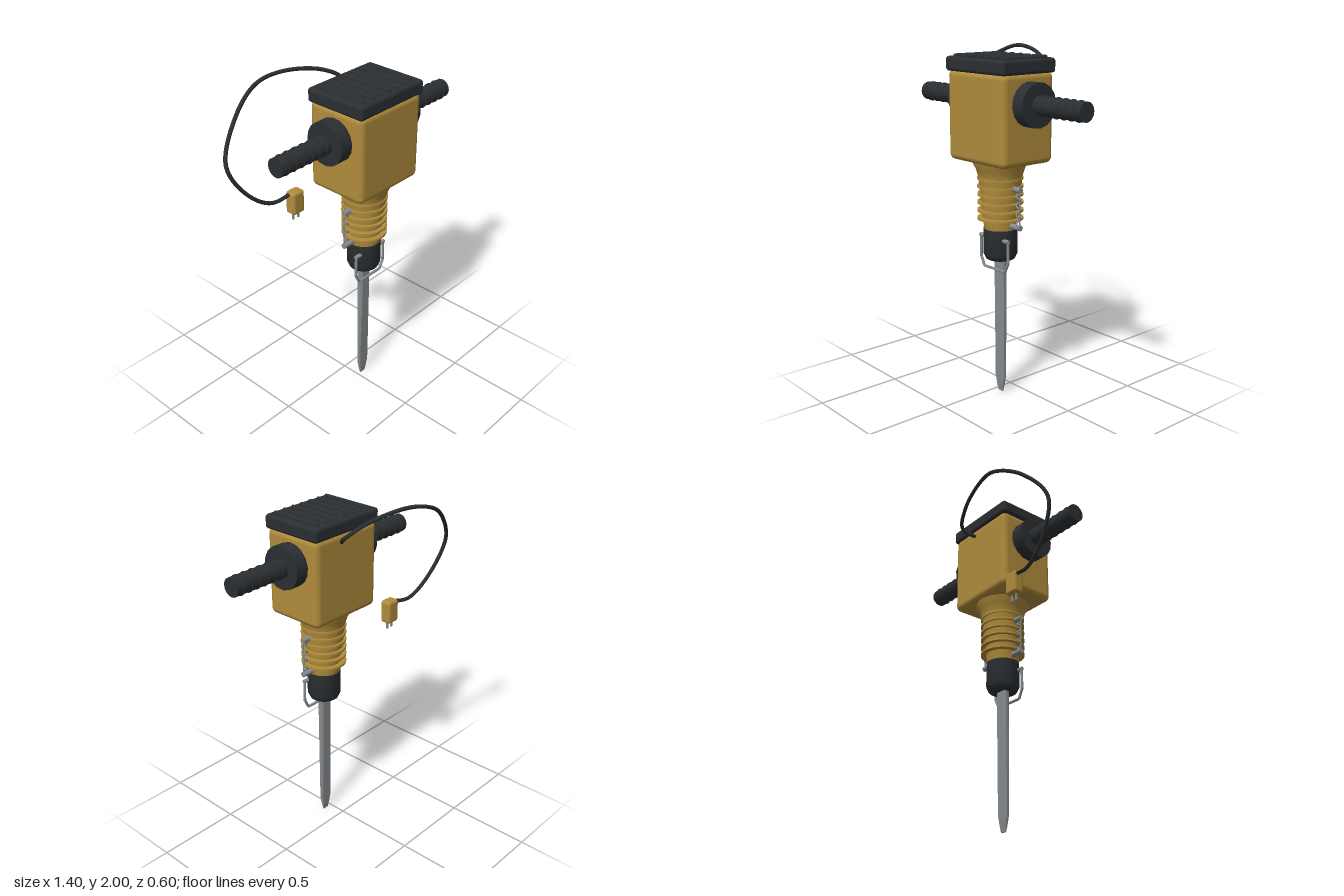
import * as THREE from 'three';
import { RoundedBoxGeometry } from 'three/addons/geometries/RoundedBoxGeometry.js';
import { toCreasedNormals } from 'three/addons/utils/BufferGeometryUtils.js';

const yellow = new THREE.MeshStandardMaterial({ color: 0xb08c3c });
const black = new THREE.MeshStandardMaterial({ color: 0x2b2f32 });
const steel = new THREE.MeshStandardMaterial({ color: 0x888c8f });

// Tool axis
const CX = 0.043, CZ = 0.11;
const V = (x, y, z) => new THREE.Vector3(x, y, z);

function add(parent, name, geometry, material, x = 0, y = 0, z = 0) {
  const mesh = new THREE.Mesh(geometry, material);
  mesh.name = name;
  mesh.position.set(x, y, z);
  parent.add(mesh);
  return mesh;
}

function lathe(points, segments = 32) {
  const profile = points.map(([r, y]) => new THREE.Vector2(r, y));
  return toCreasedNormals(new THREE.LatheGeometry(profile, segments), 0.6);
}

// Rod along x between two x positions
function rodX(x0, x1, r) {
  return new THREE.CylinderGeometry(r, r, Math.abs(x1 - x0), 16)
    .rotateZ(Math.PI / 2).translate((x0 + x1) / 2, 0, 0);
}

// Flat bar with bevelled corners, lofted through [y, halfWidth, halfDepth]
function chiselGeometry(sections) {
  const positions = [], index = [];
  const n = 8;
  for (const [y, w, d] of sections) {
    const c = d * 0.5;
    for (const [x, z] of [[w, d - c], [w - c, d], [c - w, d], [-w, d - c],
      [-w, c - d], [c - w, -d], [w - c, -d], [w, c - d]]) positions.push(x, y, z);
  }
  for (let s = 0; s < sections.length - 1; s++) {
    for (let i = 0; i < n; i++) {
      const a = s * n + i, b = s * n + (i + 1) % n;
      index.push(a, a + n, b, b, a + n, b + n);
    }
  }
  const last = (sections.length - 1) * n;
  for (let i = 1; i < n - 1; i++) {
    index.push(0, i, i + 1);
    index.push(last, last + i + 1, last + i);
  }
  const g = new THREE.BufferGeometry();
  g.setAttribute('position', new THREE.Float32BufferAttribute(positions, 3));
  g.setIndex(index);
  return toCreasedNormals(g, 0.3);
}

export function createModel() {
  const model = new THREE.Group();
  model.name = 'jackhammer';
  const tool = new THREE.Group();
  tool.name = 'tool';
  tool.position.set(CX, 0, CZ);
  model.add(tool);

  // Motor housing and ribbed cap
  add(tool, 'housing', new RoundedBoxGeometry(0.475, 0.5, 0.365, 4, 0.035), yellow, 0, 1.635, 0);
  add(tool, 'cap', new RoundedBoxGeometry(0.49, 0.08, 0.378, 3, 0.018), black, 0, 1.915, 0);
  for (let i = -3; i <= 3; i++) {
    add(tool, 'capRib', new THREE.CapsuleGeometry(0.012, 0.305, 4, 10).rotateX(Math.PI / 2),
      black, i * 0.065, 1.957, 0);
  }

  // Neck with cooling fins
  add(tool, 'neck', lathe([[0, 1.4], [0.16, 1.4], [0.157, 1.38], [0.138, 1.345], [0.124, 1.3],
    [0.118, 1.24], [0.107, 1.12], [0.092, 1.0], [0, 1.0]].reverse()), yellow);
  for (let i = 0; i < 6; i++) {
    add(tool, 'neckFin', new THREE.CylinderGeometry(0.13, 0.13, 0.012, 32), yellow, 0, 1.06 + i * 0.046, 0);
  }

  // Chuck and chisel
  add(tool, 'chuck', lathe([[0, 0.82], [0.076, 0.82], [0.084, 0.826], [0.097, 0.855],
    [0.097, 1.0], [0, 1.0]]), black);
  add(tool, 'chisel', chiselGeometry([[0, 0.019, 0.004], [0.04, 0.028, 0.009],
    [0.095, 0.039, 0.012], [0.5, 0.039, 0.018], [0.84, 0.039, 0.022]]), steel);

  // Handles and spring links, mirrored on both sides
  for (const side of [1, -1]) {
    const half = new THREE.Group();
    half.name = side > 0 ? 'leftSide' : 'rightSide';
    if (side < 0) half.rotation.y = Math.PI;
    tool.add(half);

    add(half, 'handleCollar', rodX(0.22, 0.316, 0.121).rotateX(0.1), black, 0, 1.72, 0);
    add(half, 'handleGrip', rodX(0.3, 0.659, 0.053), black, 0, 1.72, 0);
    for (let i = 0; i < 6; i++) {
      add(half, 'gripRing', new THREE.TorusGeometry(0.051, 0.006, 8, 28).rotateY(Math.PI / 2),
        black, 0.345 + i * 0.054, 1.72, 0);
    }

    add(half, 'upperPeg', rodX(0.09, 0.172, 0.016), steel, 0, 1.242, 0);
    add(half, 'lowerPeg', rodX(0.08, 0.172, 0.016), steel, 0, 1.028, 0);
    add(half, 'springRod', new THREE.CylinderGeometry(0.004, 0.004, 0.214, 8), steel, 0.165, 1.135, 0);
    const coil = [];
    for (let i = 0; i <= 48; i++) {
      const a = i / 48 * Math.PI * 8;
      coil.push(V(0.152 + 0.011 * Math.cos(a), 1.03 + 0.21 * i / 48, 0.011 * Math.sin(a)));
    }
    add(half, 'spring', new THREE.TubeGeometry(new THREE.CatmullRomCurve3(coil), 120, 0.0055, 6), steel);
  }

  // Retainer bail below the chuck
  const bail = new THREE.CurvePath();
  const corners = [[-0.115, 0.945], [-0.118, 0.82], [-0.09, 0.765], [0.09, 0.765],
    [0.118, 0.82], [0.115, 0.945]].map(([x, y]) => V(x, y, 0.045));
  for (let i = 0; i < corners.length - 1; i++) {
    bail.add(new THREE.LineCurve3(corners[i], corners[i + 1]));
  }
  add(tool, 'bail', new THREE.TubeGeometry(bail, 100, 0.008, 8), steel);
  for (const s of [1, -1]) {
    add(tool, 'bailPeg', rodX(s * 0.075, s * 0.122, 0.012), steel, 0, 0.945, 0.045);
  }

  // Power cord
  const cord = new THREE.CatmullRomCurve3([
    V(0.07, 1.82, -0.05), V(0.13, 1.885, -0.135), V(0.03, 1.95, -0.195), V(-0.2, 1.99, -0.262),
    V(-0.36, 1.965, -0.287), V(-0.55, 1.86, -0.24), V(-0.69, 1.66, -0.175),
    V(-0.6, 1.47, -0.14), V(-0.45, 1.36, -0.115), V(-0.3, 1.375, -0.094),
  ]);
  add(model, 'cord', new THREE.TubeGeometry(cord, 140, 0.011, 10), black);

  // Plug with two prongs
  add(model, 'plug', new RoundedBoxGeometry(0.084, 0.135, 0.068, 3, 0.016), yellow, -0.3, 1.318, -0.09);
  for (const s of [1, -1]) {
    add(model, 'plugProng', new THREE.CylinderGeometry(0.007, 0.007, 0.06, 10), steel,
      -0.3 + s * 0.018, 1.24, -0.09);
  }

  return model;
}
